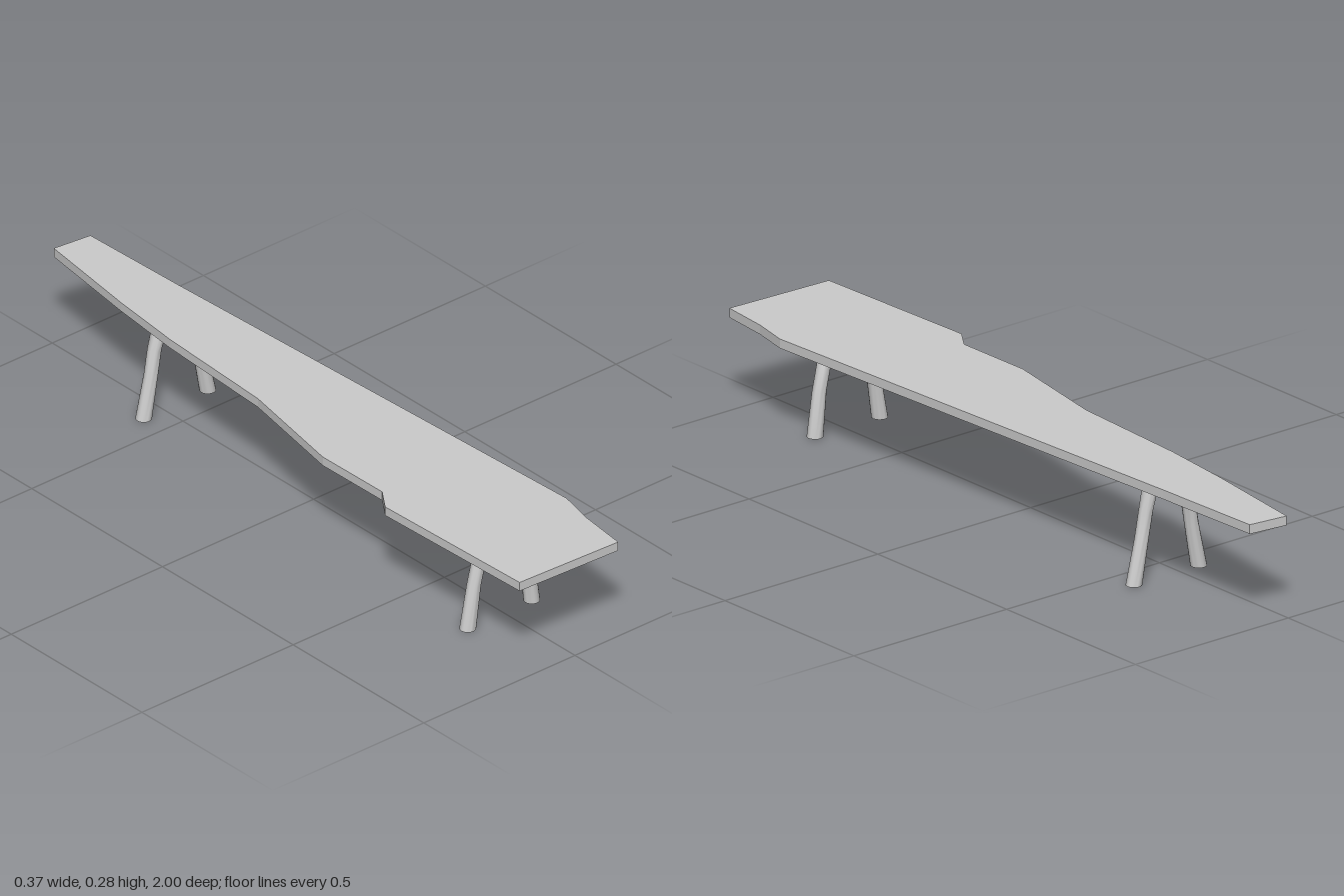
import * as THREE from 'three';
import { toCreasedNormals } from 'three/addons/utils/BufferGeometryUtils.js';

const material = new THREE.MeshStandardMaterial({ color: 0xcccccc });
const SEAT_Y = 0.25;
const SEAT_THICKNESS = 0.025;

// Plank outline seen from above, as [x, z]
const OUTLINE = [
  [0.005, -1], [0.115, -0.987], [0.125, -0.66], [0.184, 0.755], [0.16, 0.86],
  [0.143, 1], [-0.172, 0.987], [-0.187, 0.49], [-0.145, 0.43], [-0.147, 0.205],
  [-0.085, -0.115], [-0.064, -0.475], [-0.04, -0.69],
];

// Heights and radii of the leg rings, from the floor to the seat
const LEG_Y = [0, 0.12, 0.19, SEAT_Y];
const LEG_RADIUS = [0.0212, 0.0185, 0.0185, 0.0208];

// Each leg: z position and the ring centres in x, from the floor up
const LEGS = {
  frontRightLeg: { z: 0.725, x: [-0.117, -0.097, -0.079, -0.0625] },
  frontLeftLeg: { z: 0.725, x: [0.0945, 0.0805, 0.0645, 0.039] },
  backRightLeg: { z: -0.575, x: [-0.065, -0.041, -0.0295, -0.0105] },
  backLeftLeg: { z: -0.575, x: [0.1465, 0.1215, 0.108, 0.093] },
};

function createSeat() {
  const shape = new THREE.Shape(OUTLINE.map(([x, z]) => new THREE.Vector2(x, -z)));
  const geometry = new THREE.ExtrudeGeometry(shape, { depth: SEAT_THICKNESS, bevelEnabled: false });
  geometry.rotateX(-Math.PI / 2).translate(0, SEAT_Y, 0);
  const seat = new THREE.Mesh(geometry, material);
  seat.name = 'seat';
  return seat;
}

// A branch-like leg: a capped cylinder whose rings follow a bent path
function createLeg(name, { x, z }) {
  const bends = LEG_Y.length - 1;
  const geometry = new THREE.CylinderGeometry(1, 1, 1, 20, bends);
  const p = geometry.attributes.position;
  for (let i = 0; i < p.count; i++) {
    const ring = Math.round((p.getY(i) + 0.5) * bends);
    const r = LEG_RADIUS[ring];
    p.setXYZ(i, x[ring] + p.getX(i) * r, LEG_Y[ring], z + p.getZ(i) * r);
  }
  const leg = new THREE.Mesh(toCreasedNormals(geometry, 0.8), material);
  leg.name = name;
  return leg;
}

export function createModel() {
  const bench = new THREE.Group();
  bench.name = 'bench';
  bench.add(createSeat());
  for (const [name, path] of Object.entries(LEGS)) bench.add(createLeg(name, path));
  return bench;
}
